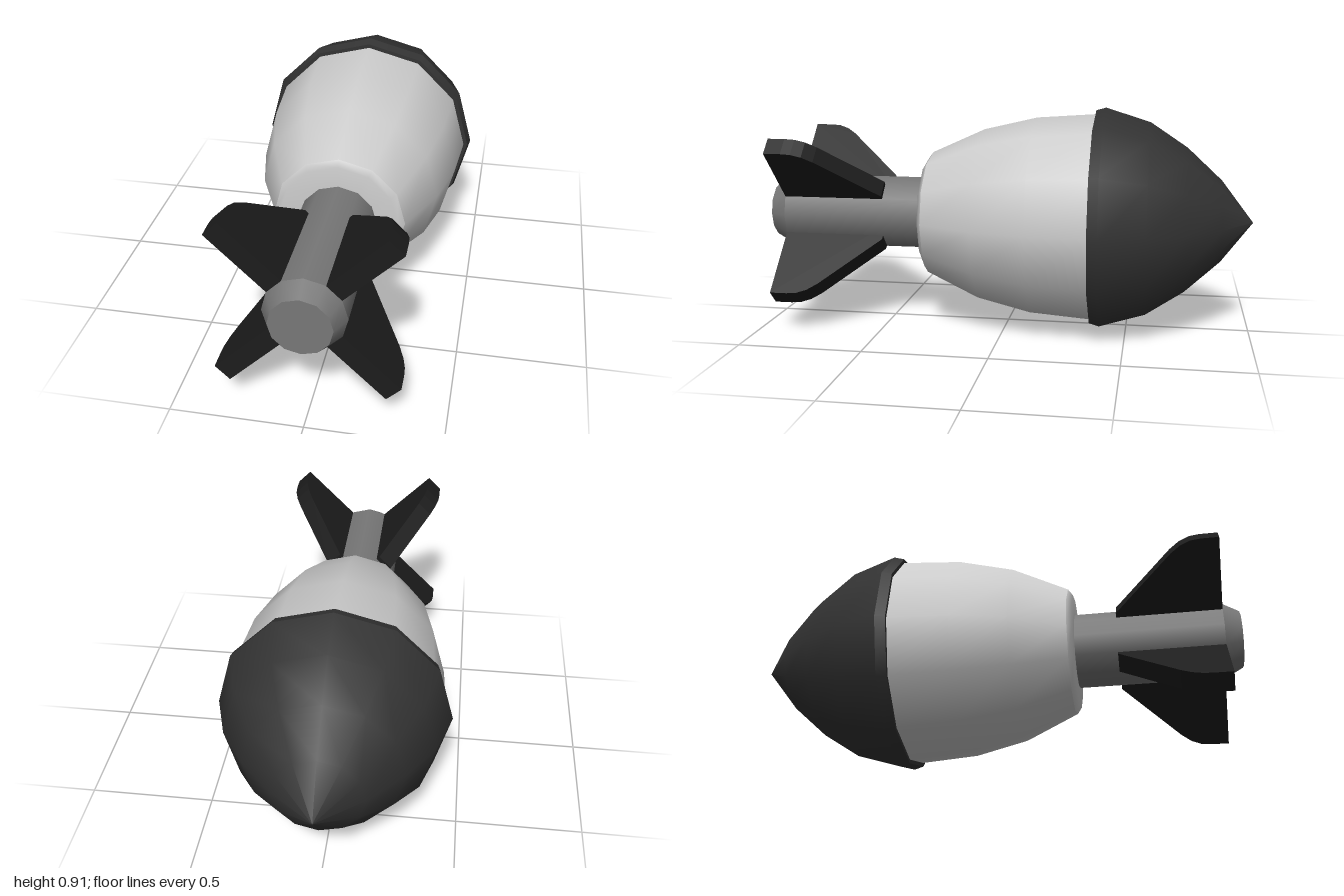
import * as THREE from 'three';

const SIDES = 12;
const AXIS_Y = 0.456;

// Turned part along z: each profile is a list of [z, radius] and is smooth in itself;
// separate profiles meet in a sharp edge.
function turned(name, material, profiles) {
  const part = new THREE.Group();
  part.name = name;
  for (const profile of profiles) {
    const points = profile.map(([z, r]) => new THREE.Vector2(r, z));
    const geometry = new THREE.LatheGeometry(points, SIDES).rotateX(Math.PI / 2);
    const mesh = new THREE.Mesh(geometry, material);
    mesh.name = name + 'Surface';
    part.add(mesh);
  }
  return part;
}

// Flat swept fin, drawn as radius against z
function finGeometry(thickness) {
  const shape = new THREE.Shape([
    [0.1, 0.51], [0.165, 0.51], [0.39, 0.74], [0.42, 0.78],
    [0.436, 0.82], [0.44, 0.86], [0.44, 0.93], [0.1, 0.93],
  ].map(([r, z]) => new THREE.Vector2(r, z)));
  return new THREE.ExtrudeGeometry(shape, { depth: thickness, bevelEnabled: false })
    .translate(0, 0, -thickness / 2)
    .rotateX(Math.PI / 2);
}

export function createModel() {
  const model = new THREE.Group();
  model.name = 'finnedShell';
  const dark = new THREE.MeshStandardMaterial({ color: 0x333333 });
  const black = new THREE.MeshStandardMaterial({ color: 0x1c1c1c });
  const grey = new THREE.MeshStandardMaterial({ color: 0xcccccc });
  const steel = new THREE.MeshStandardMaterial({ color: 0x777777 });

  // Pointed nose with a narrow rim and a flat back
  model.add(turned('nose', dark, [
    [[-1, 0], [-0.87, 0.17], [-0.73, 0.3], [-0.58, 0.4], [-0.4, 0.456]],
    [[-0.4, 0.456], [-0.36, 0.445]],
    [[-0.36, 0.445], [-0.36, 0.4]],
  ]));

  // Tapering body with a softened rear edge
  model.add(turned('body', grey, [
    [[-0.38, 0.43], [-0.36, 0.429], [-0.12, 0.412], [0.1, 0.36], [0.32, 0.26]],
    [[0.32, 0.26], [0.338, 0.235], [0.34, 0.13]],
  ]));

  // Tail tube with a chamfered end
  model.add(turned('tailTube', steel, [
    [[0.32, 0.152], [0.93, 0.152]],
    [[0.93, 0.152], [1, 0.115]],
    [[1, 0.115], [1, 0]],
  ]));

  // Four fins on the diagonals
  const geometry = finGeometry(0.076);
  for (let i = 0; i < 4; i++) {
    const fin = new THREE.Mesh(geometry, black);
    fin.name = 'fin' + (i + 1);
    fin.rotation.z = Math.PI / 4 + i * Math.PI / 2;
    model.add(fin);
  }

  for (const part of model.children) part.position.y = AXIS_Y;
  return model;
}
